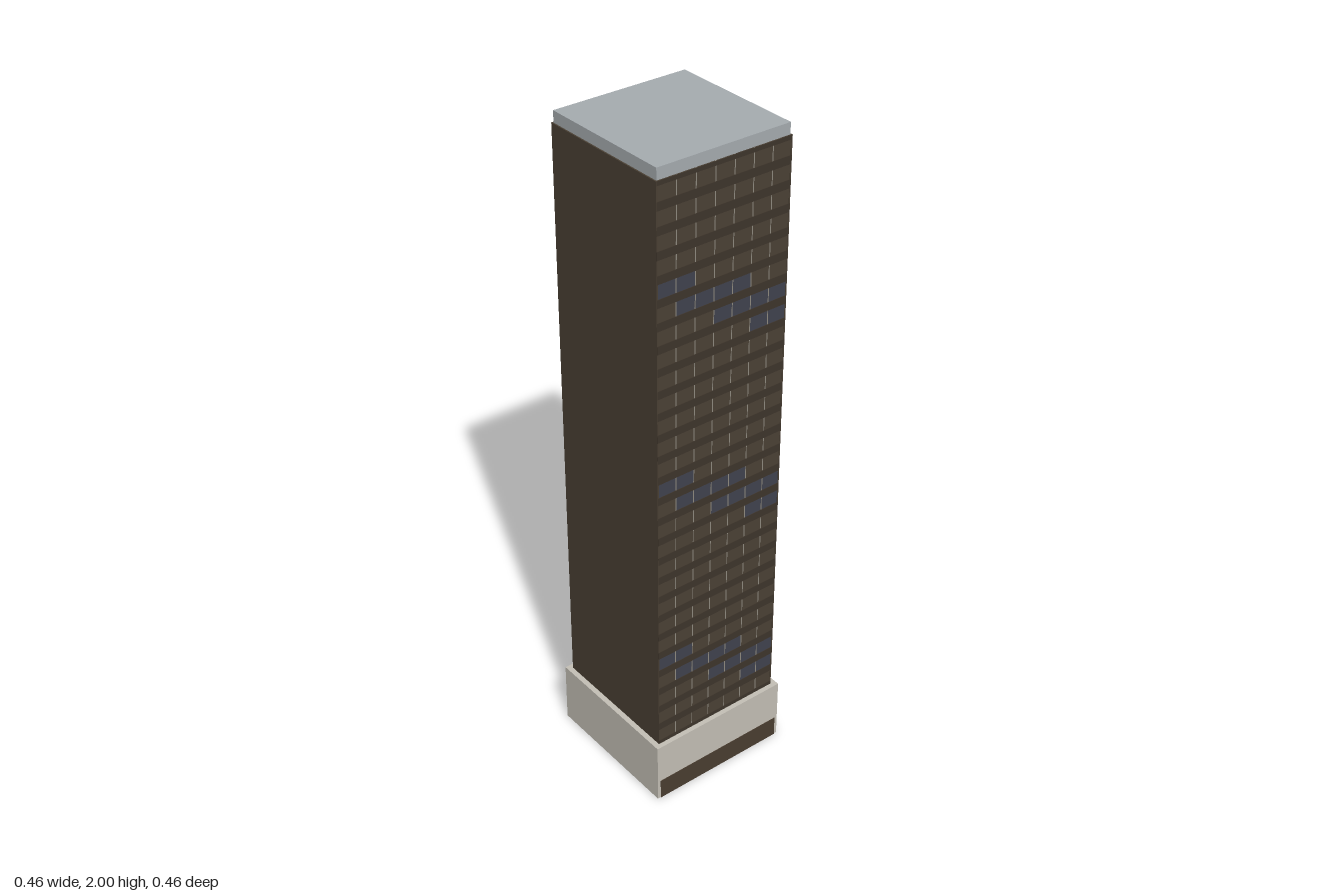
import * as THREE from 'three';

const mat = (color) => new THREE.MeshStandardMaterial({ color });
const stone = mat(0xc4c0b6), wall = mat(0x4a4034), band = mat(0x3e352b);
const glass = mat(0x4b4135), blueGlass = mat(0x40424e), metal = mat(0x8f8a80);
const roofGrey = mat(0xa6acb0), entry = mat(0x4a3d30);

// Adds a box given its size and centre
function box(parent, name, material, w, h, d, x, y, z) {
  const mesh = new THREE.Mesh(new THREE.BoxGeometry(w, h, d), material);
  mesh.name = name;
  mesh.position.set(x, y, z);
  parent.add(mesh);
  return mesh;
}

const BASE = 0.195, TOP = 1.967, FLOORS = 27, COLS = 7, HALF = 0.21;
const STEP = (TOP - BASE) / FLOORS, BAY = (2 * HALF) / COLS;

// First and last blue bay on each floor of the repeating nine-floor pattern
const BLUE = { 1: [5, 6], 2: [3, 6], 3: [1, 4], 4: [0, 1] };

// One glazed face, on the front (side = 1) or the back (side = -1)
function facade(side) {
  const g = new THREE.Group();
  g.name = side > 0 ? 'frontFacade' : 'backFacade';
  const paneGeo = new THREE.BoxGeometry(BAY - 0.003, STEP, 0.004);
  for (let f = 0; f < FLOORS; f++) {
    const y = BASE + (f + 0.5) * STEP;
    const range = BLUE[f % 9];
    for (let c = 0; c < COLS; c++) {
      const isBlue = range && c >= range[0] && c <= range[1];
      const pane = new THREE.Mesh(paneGeo, isBlue ? blueGlass : glass);
      pane.name = 'window';
      pane.position.set(-HALF + (c + 0.5) * BAY, y, side * 0.208);
      g.add(pane);
    }
  }
  // Thin vertical bars between the bays
  for (let c = 1; c < COLS; c++) {
    box(g, 'mullion', metal, 0.003, TOP - BASE, 0.004, -HALF + c * BAY, (BASE + TOP) / 2, side * 0.2082);
  }
  // Dark bands at the floor lines
  for (let f = 0; f <= FLOORS; f++) {
    const h = f === FLOORS ? 0.012 : 0.024;
    const y = f === FLOORS ? TOP - h / 2 : BASE + f * STEP;
    box(g, 'spandrel', band, 2 * HALF, h, 0.006, 0, y, side * 0.2085);
  }
  return g;
}

export function createModel() {
  const model = new THREE.Group();
  model.name = 'tower';

  // Podium with dark entrance strips front and back
  box(model, 'podium', stone, 0.455, BASE, 0.453, 0, BASE / 2, 0);
  for (const s of [1, -1]) {
    box(model, 'entranceStrip', entry, 0.434, 0.065, 0.006, 0, 0.0325, s * 0.2255);
  }

  // Shaft with plain side walls
  box(model, 'shaft', wall, 2 * HALF, TOP - BASE, 0.414, 0, (BASE + TOP) / 2, 0);
  for (const s of [1, -1]) {
    box(model, 'sideWall', wall, 0.004, TOP - BASE, 0.422, s * 0.209, (BASE + TOP) / 2, 0);
  }
  model.add(facade(1), facade(-1));

  // Roof slab, set in slightly from the walls
  box(model, 'roof', roofGrey, 0.414, 2 - TOP, 0.414, 0, (2 + TOP) / 2, 0);
  return model;
}
